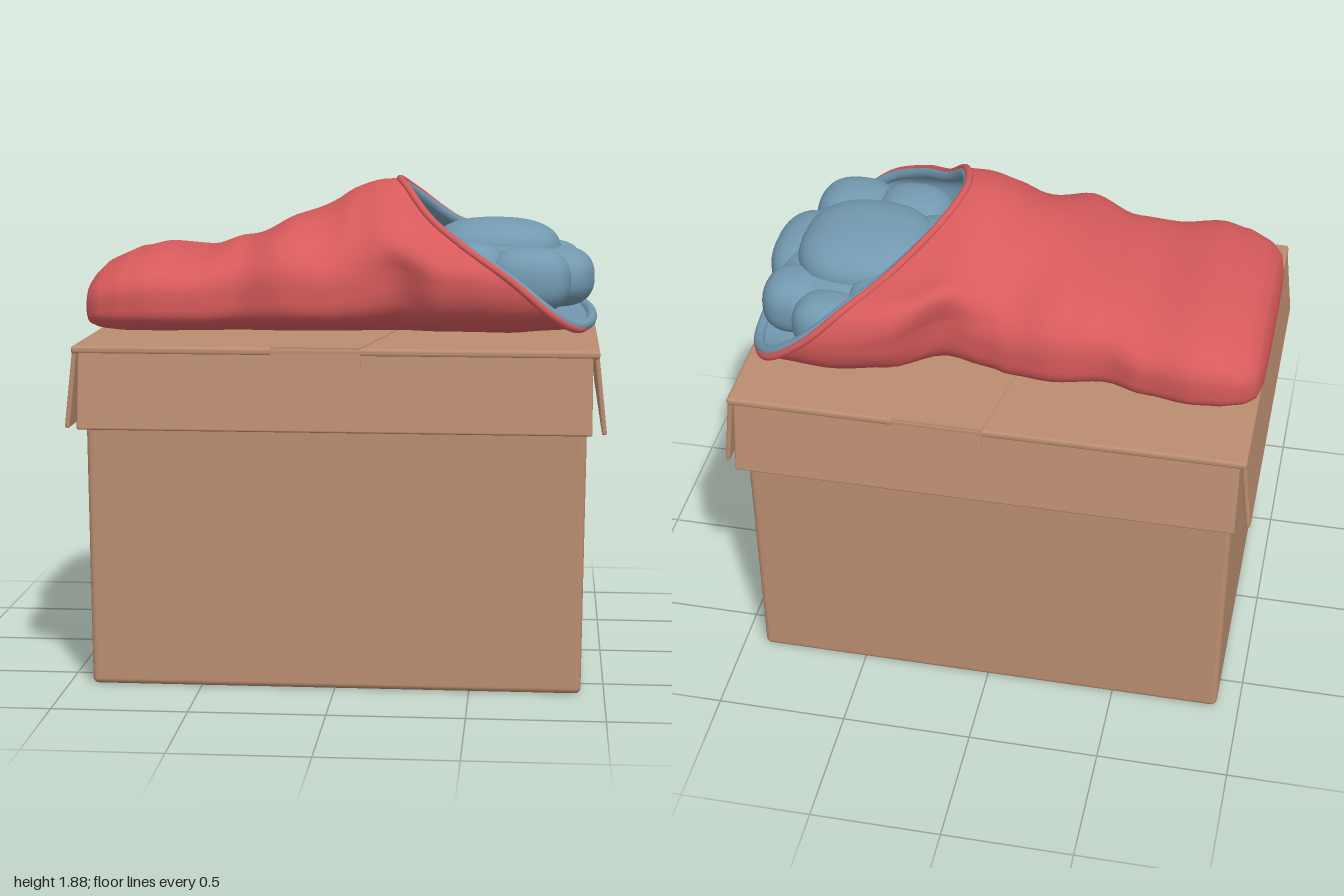
import * as THREE from 'three';
import { RoundedBoxGeometry } from 'three/addons/geometries/RoundedBoxGeometry.js';

const material = (name, color, side = THREE.FrontSide) => {
  const m = new THREE.MeshStandardMaterial({ color, side });
  m.name = name;
  return m;
};

const V = (x, y, z) => new THREE.Vector3(x, y, z);

// bag profile along x: [x, half width, top, bottom]
const profile = [
  [-0.975, 0.34, 1.46, 1.34], [-0.96, 0.41, 1.51, 1.31], [-0.92, 0.455, 1.55, 1.295],
  [-0.83, 0.49, 1.59, 1.287], [-0.72, 0.505, 1.61, 1.287], [-0.55, 0.475, 1.6, 1.287],
  [-0.4, 0.435, 1.64, 1.287], [-0.2, 0.49, 1.7, 1.287], [-0.05, 0.47, 1.68, 1.287],
  [0.05, 0.445, 1.73, 1.287], [0.2, 0.43, 1.87, 1.287], [0.4, 0.53, 1.8, 1.287],
  [0.7, 0.57, 1.7, 1.287], [1, 0.57, 1.65, 1.287],
];

// slanted mouth of the bag, from the top round over +z
const rim = new THREE.CatmullRomCurve3([
  V(0.2, 1.865, 0), V(0.24, 1.835, 0.17), V(0.33, 1.73, 0.29), V(0.47, 1.63, 0.45),
  V(0.64, 1.52, 0.55), V(0.78, 1.4, 0.53), V(0.87, 1.335, 0.43), V(0.93, 1.325, 0.22),
  V(0.945, 1.325, 0), V(0.945, 1.325, -0.2), V(0.92, 1.335, -0.42), V(0.83, 1.4, -0.57),
  V(0.68, 1.52, -0.61), V(0.54, 1.64, -0.55), V(0.42, 1.68, -0.36), V(0.26, 1.81, -0.17),
], true);

function profileAt(x) {
  let i = 0;
  while (i < profile.length - 2 && x > profile[i + 1][0]) i++;
  const a = profile[i], b = profile[i + 1];
  const k = THREE.MathUtils.clamp((x - a[0]) / (b[0] - a[0]), 0, 1);
  const s = i < 3 ? k : k * k * (3 - 2 * k);
  return [1, 2, 3].map((j) => a[j] + (b[j] - a[j]) * s);
}

// point on the bag: u runs from foot to mouth, t runs round it
function bagPoint(u, t) {
  const r = rim.getPoint(t % 1), c = Math.cos(t * Math.PI * 2), s = Math.sin(t * Math.PI * 2);
  const x = THREE.MathUtils.lerp(-0.975, r.x, u);
  const [w, top, bottom] = profileAt(x);
  const mid = bottom + (top - bottom) * 0.45;
  const peak = THREE.MathUtils.lerp(0.75, 1, THREE.MathUtils.smoothstep(x, -0.3, 0.2));
  const y = c > 0 ? mid + (top - mid) * c ** peak : mid - (mid - bottom) * (-c) ** 0.5;
  const z = Math.sign(s) * w * Math.abs(s) ** 0.8 - 0.03 * THREE.MathUtils.smoothstep(x, 0.2, 0.6);
  const blend = THREE.MathUtils.smoothstep(u, 0.55 + 0.15 * (1 - c), 1);
  return V(x, y + (r.y - y) * blend, z + (r.z - z) * blend);
}

const inward = (p, k = 0.93) => V(p.x, 1.5 + (p.y - 1.5) * k, -0.03 + (p.z + 0.03) * k);

// closed rings joined into a smooth surface
function loft(point, rows, cols, flip = false) {
  const pos = [], idx = [];
  for (let i = 0; i <= rows; i++) {
    for (let j = 0; j < cols; j++) pos.push(...point(i / rows, j / cols).toArray());
  }
  for (let i = 0; i < rows; i++) {
    for (let j = 0; j < cols; j++) {
      const a = i * cols + j, b = i * cols + ((j + 1) % cols), c = a + cols, d = b + cols;
      if (flip) idx.push(a, c, b, b, c, d);
      else idx.push(a, b, c, b, d, c);
    }
  }
  const g = new THREE.BufferGeometry();
  g.setAttribute('position', new THREE.Float32BufferAttribute(pos, 3));
  g.setIndex(idx);
  g.computeVertexNormals();
  return g;
}

// slightly boxy ellipsoid
function cushionGeometry(rx, ry, rz) {
  const g = new THREE.SphereGeometry(1, 40, 28), p = g.attributes.position;
  const n = g.attributes.normal, e = 2.5;
  for (let i = 0; i < p.count; i++) {
    const v = V(p.getX(i), p.getY(i), p.getZ(i));
    const q = v.toArray().map(Math.abs);
    v.divideScalar((q[0] ** e + q[1] ** e + q[2] ** e) ** (1 / e));
    const m = V(...v.toArray().map((k, j) => Math.sign(k) * Math.abs(k) ** (e - 1) / [rx, ry, rz][j])).normalize();
    p.setXYZ(i, v.x * rx, v.y * ry, v.z * rz);
    n.setXYZ(i, m.x, m.y, m.z);
  }
  return g;
}

export function createModel() {
  const model = new THREE.Group();
  const card = material('cardboard', 0xba8d70);
  const red = material('red fabric', 0xd65a5b, THREE.DoubleSide);
  const blue = material('blue lining', 0x7399b0, THREE.DoubleSide);
  const add = (name, geometry, mat, parent = model) => {
    const mesh = new THREE.Mesh(geometry, mat);
    mesh.name = name;
    parent.add(mesh);
    return mesh;
  };

  // box body, slightly narrower at the foot
  const body = new RoundedBoxGeometry(1.84, 1.27, 1.31, 3, 0.022);
  body.translate(0, 0.635, 0);
  const bp = body.attributes.position;
  for (let i = 0; i < bp.count; i++) bp.setX(i, bp.getX(i) * (0.993 + 0.012 * bp.getY(i) / 1.27));
  add('boxBody', body, card);

  // lid panel and four hanging flaps
  add('lidTop', new RoundedBoxGeometry(1.93, 0.03, 1.41, 3, 0.012), card).position.y = 1.271;
  const flaps = [
    ['frontFlap', 0, 0.69, 1.88, 0.15], ['rightFlap', Math.PI / 2, 0.952, 1.39, 0.11],
    ['backFlap', Math.PI, 0.69, 1.88, 0.15], ['leftFlap', -Math.PI / 2, 0.952, 1.39, 0.11],
  ].map(([name, turn, out, width, tilt]) => {
    const pivot = new THREE.Group();
    pivot.name = name;
    pivot.rotation.y = turn;
    const hinge = new THREE.Group();
    hinge.position.set(0, 1.278, out);
    hinge.rotation.x = -tilt;
    pivot.add(hinge);
    model.add(pivot);
    const panel = new RoundedBoxGeometry(width, 0.3, 0.018, 2, 0.007);
    panel.translate(0, -0.15, 0);
    add(name + 'Panel', panel, card, hinge);
    return hinge;
  });

  // tape: a skewed strip over the lid with ends folded down the flaps
  const strip = new THREE.Shape([
    new THREE.Vector2(-0.23, -0.705), new THREE.Vector2(0.1, -0.705),
    new THREE.Vector2(0.34, 0.705), new THREE.Vector2(0, 0.705),
  ]);
  const tape = add('lidTape', new THREE.ExtrudeGeometry(strip, { depth: 0.004, bevelEnabled: false }), card);
  tape.rotation.x = -Math.PI / 2;
  tape.position.y = 1.285;
  add('frontTapeEnd', new THREE.BoxGeometry(0.33, 0.11, 0.006), card, flaps[0]).position.set(-0.065, -0.045, 0.01);
  add('backTapeEnd', new THREE.BoxGeometry(0.34, 0.11, 0.006), card, flaps[2]).position.set(-0.17, -0.045, 0.01);
  add('sidePatch', new THREE.BoxGeometry(0.32, 0.22, 0.006), card, flaps[1]).position.set(0, -0.14, 0.01);

  // sleeping bag shell, with the first rows closing the foot
  const shell = (v, t) => {
    if (v < 0.1) {
      const p = bagPoint(0, t), k = v / 0.1;
      return V(p.x - 0.006 * (1 - k * k), 1.4 + (p.y - 1.4) * k, p.z * k);
    }
    return bagPoint(((v - 0.1) / 0.9) ** 1.4, t);
  };
  add('bagShell', loft(shell, 60, 96), red);
  add('bagLining', loft((v, t) => inward(bagPoint(0.45 + 0.55 * v, t)), 24, 96, true), blue);

  // hem: red outer piping and blue inner lip
  add('outerHem', new THREE.TubeGeometry(rim, 128, 0.014, 10, true), red);
  const lip = new THREE.CatmullRomCurve3(rim.getPoints(48).slice(0, -1).map((p) => inward(p, 0.95)), true);
  add('innerLip', new THREE.TubeGeometry(lip, 128, 0.021, 10, true), blue);

  // padded bedding in the mouth: [x, y, z, rx, ry, rz]
  [
    [0.57, 1.49, -0.05, 0.33, 0.14, 0.4], [0.57, 1.58, -0.08, 0.255, 0.13, 0.26],
    [0.81, 1.49, -0.01, 0.145, 0.115, 0.22], [0.79, 1.49, -0.31, 0.125, 0.115, 0.13],
    [0.63, 1.49, -0.43, 0.14, 0.11, 0.11], [0.7, 1.5, 0.28, 0.16, 0.125, 0.15],
    [0.47, 1.5, 0.26, 0.16, 0.14, 0.15], [0.44, 1.51, -0.33, 0.15, 0.13, 0.14],
    [0.34, 1.52, -0.03, 0.13, 0.13, 0.24],
  ].forEach(([x, y, z, rx, ry, rz], i) => {
    add('bedding' + (i + 1), cushionGeometry(rx, ry, rz), blue).position.set(x, y, z);
  });

  return model;
}
